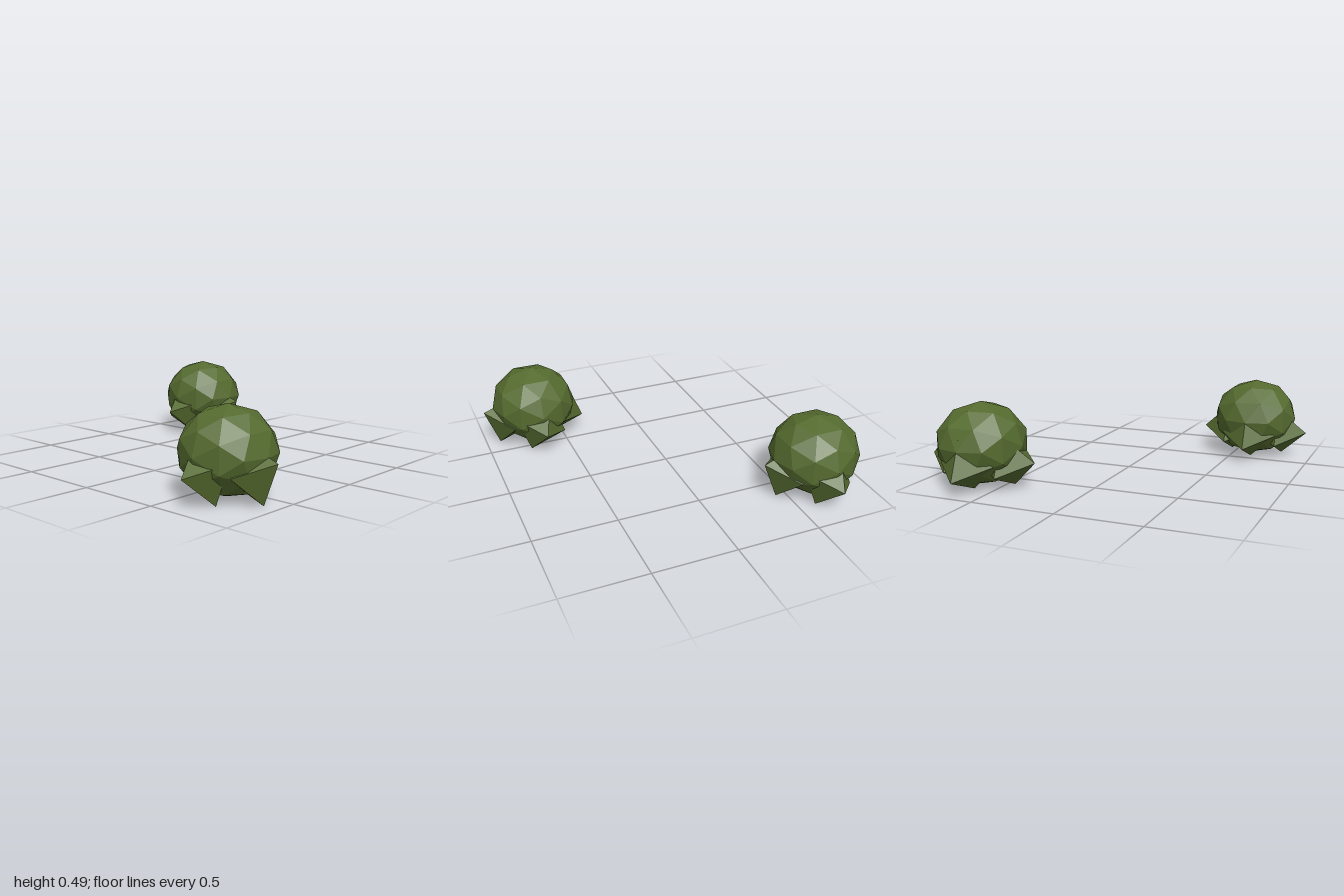
import * as THREE from 'three';

export function createModel() {
  const model = new THREE.Group();
  model.name = 'shrubs';
  const olive = new THREE.MeshStandardMaterial({ color: 0x556b2f, flatShading: true });
  olive.name = 'olive leaf';

  // Faceted crown, slightly flattened
  const crownGeometry = new THREE.IcosahedronGeometry(0.265, 1).scale(1, 0.91, 1);
  // Pointed leaf clump, leaning sideways
  const leafGeometry = new THREE.OctahedronGeometry(0.172).rotateZ(0.42);

  function makeShrub(name, x, z) {
    const shrub = new THREE.Group();
    shrub.name = name;
    const crown = new THREE.Mesh(crownGeometry, olive);
    crown.name = 'crown';
    crown.position.y = 0.25;
    shrub.add(crown);
    // Four leaf clumps around the base
    for (const [leafName, dx, dz] of [
      ['leftLeaf', 1, 0], ['rightLeaf', -1, 0], ['frontLeaf', 0, 1], ['backLeaf', 0, -1],
    ]) {
      const leaf = new THREE.Mesh(leafGeometry, olive);
      leaf.name = leafName;
      leaf.position.set(dx * 0.167, 0.16, dz * 0.167);
      shrub.add(leaf);
    }
    shrub.position.set(x, 0, z);
    model.add(shrub);
  }

  makeShrub('frontShrub', 0.675, 0.625);
  makeShrub('backShrub', -0.675, -0.625);
  return model;
}
